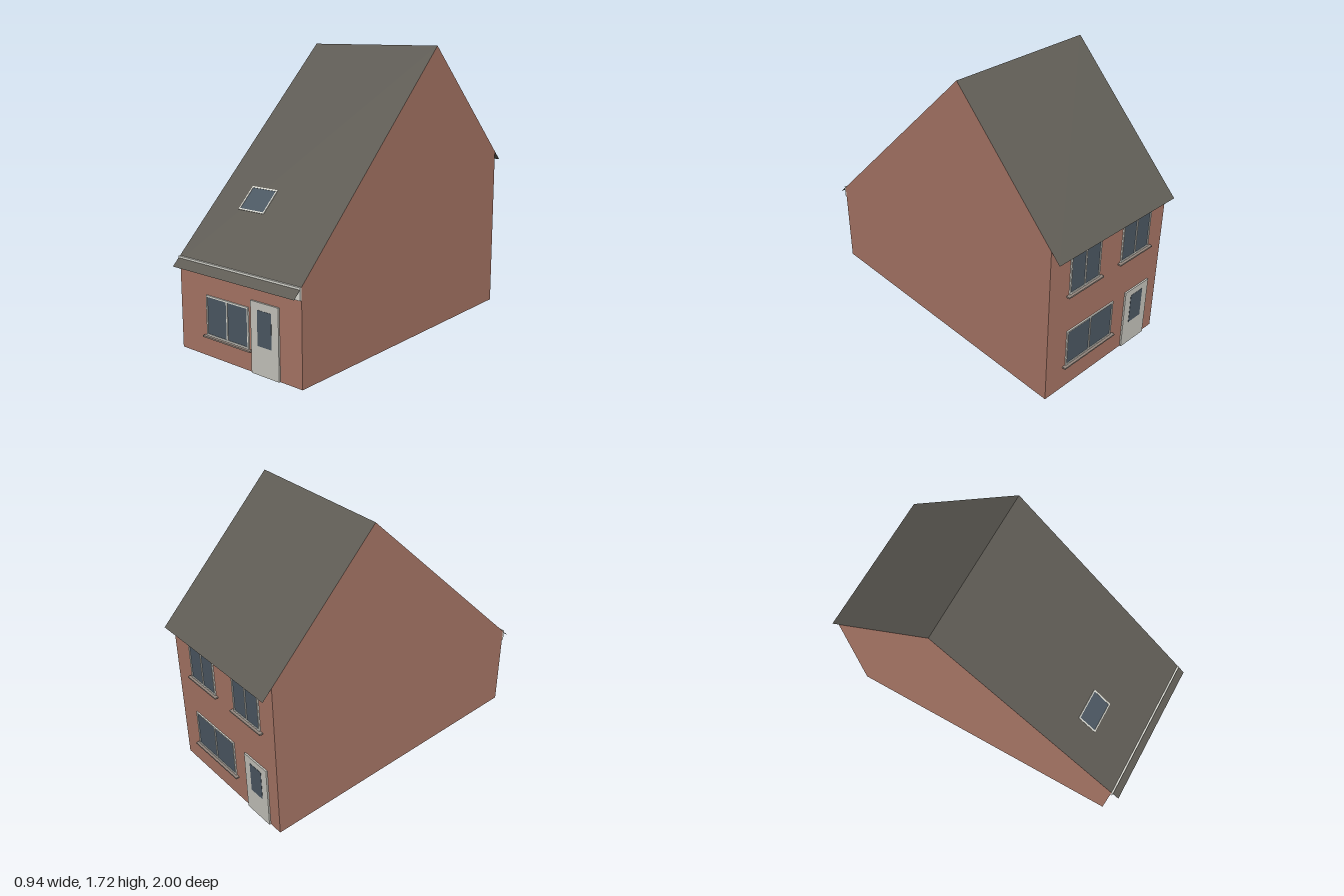
import * as THREE from 'three';

const W = 0.94, FRONT = 0.945, BACK = -0.94, RIDGE_Z = -0.235, RIDGE_Y = 1.72;
const roofY = (z) => RIDGE_Y - 0.992 * Math.abs(z - RIDGE_Z);

const mat = (color) => new THREE.MeshStandardMaterial({ color, side: THREE.DoubleSide });
const brick = mat(0xa87666), tile = mat(0x5f5c55), white = mat(0xdcdcd4);
const doorPaint = mat(0xc6c5bd), glass = mat(0x4c5863), stone = mat(0x94877e);

function add(parent, name, geometry, material, x = 0, y = 0, z = 0) {
  const mesh = new THREE.Mesh(geometry, material);
  mesh.name = name;
  mesh.position.set(x, y, z);
  parent.add(mesh);
  return mesh;
}
const box = (parent, name, material, w, h, d, x, y, z) =>
  add(parent, name, new THREE.BoxGeometry(w, h, d), material, x, y, z);

// Rectangular frame with a pane, centred on its origin and facing +z
function framedPane(name, w, h, t, depth) {
  const g = new THREE.Group();
  g.name = name;
  for (const s of [-1, 1]) {
    box(g, 'frameRail', white, w, t, depth, 0, s * (h - t) / 2, depth / 2);
    box(g, 'frameStile', white, t, h - 2 * t, depth, s * (w - t) / 2, 0, depth / 2);
  }
  box(g, 'pane', glass, w - 2 * t, h - 2 * t, depth * 0.5, 0, 0, depth * 0.25);
  return g;
}

// Two-light window with a projecting sill
function makeWindow(x, y, w, h) {
  const g = framedPane('window', w, h, 0.009, 0.008);
  box(g, 'mullion', white, 0.009, h - 0.018, 0.008, 0, 0, 0.004);
  box(g, 'sill', stone, w + 0.04, 0.009, 0.022, 0, -h / 2 - 0.006, 0.011);
  g.position.set(x, y, 0);
  return g;
}

// Door leaf with a glazed panel
function makeDoor(x) {
  const g = new THREE.Group();
  g.name = 'door';
  box(g, 'doorLeaf', doorPaint, 0.205, 0.408, 0.01, 0, 0.204, 0.005);
  box(g, 'doorGlass', glass, 0.104, 0.2, 0.002, 0, 0.265, 0.0105);
  g.position.x = x;
  return g;
}

export function createModel() {
  const house = new THREE.Group();
  house.name = 'house';

  // Gable walls
  const gable = new THREE.Shape([
    [BACK, 0], [FRONT, 0], [FRONT, roofY(FRONT)], [RIDGE_Z, RIDGE_Y], [BACK, roofY(BACK)],
  ].map(([z, y]) => new THREE.Vector2(z, y)));
  for (const s of [-1, 1]) {
    const geo = new THREE.ShapeGeometry(gable).rotateY(-Math.PI / 2);
    add(house, 'gableWall', geo, brick, s * W / 2);
  }

  // Front and back walls
  for (const [name, z] of [['frontWall', FRONT], ['backWall', BACK]]) {
    const h = roofY(z);
    const geo = new THREE.PlaneGeometry(W, h);
    if (z < 0) geo.rotateY(Math.PI);
    add(house, name, geo, brick, 0, h / 2, z);
  }

  // Upper floor, stopping short of the front wall
  add(house, 'upperFloor', new THREE.PlaneGeometry(W, 1.72).rotateX(Math.PI / 2), brick, 0, 0.5, -0.08);

  // Two thin roof slopes reaching past the walls
  for (const [name, z] of [['frontRoof', 1], ['backRoof', -1]]) {
    const run = z - RIDGE_Z, drop = RIDGE_Y - roofY(z);
    const geo = new THREE.PlaneGeometry(W, Math.hypot(run, drop));
    if (z < 0) geo.rotateY(Math.PI);
    geo.rotateX(-Math.atan2(run, drop));
    add(house, name, geo, tile, 0, RIDGE_Y - drop / 2, RIDGE_Z + run / 2);
  }

  // Fascia board under the front eave
  box(house, 'fascia', white, W, 0.069, 0.012, 0, 0.5145, FRONT + 0.006);

  // Roof window lying on the front slope
  const skylight = framedPane('skylight', 0.2, 0.165, 0.009, 0.004);
  skylight.position.set(-0.15, roofY(0.63), 0.63);
  skylight.rotation.x = -Math.atan2(1, 0.992);
  house.add(skylight);

  // Front openings
  const front = new THREE.Group();
  front.name = 'frontOpenings';
  front.position.z = FRONT;
  front.add(makeWindow(-0.083, 0.243, 0.335, 0.235), makeDoor(0.21));
  house.add(front);

  // Back openings, turned to face the rear
  const back = new THREE.Group();
  back.name = 'backOpenings';
  back.position.z = BACK;
  back.rotation.y = Math.PI;
  back.add(
    makeWindow(-0.125, 0.285, 0.385, 0.245),
    makeWindow(-0.197, 0.792, 0.24, 0.25),
    makeWindow(0.225, 0.792, 0.24, 0.25),
    makeDoor(0.28),
  );
  house.add(back);

  return house;
}
